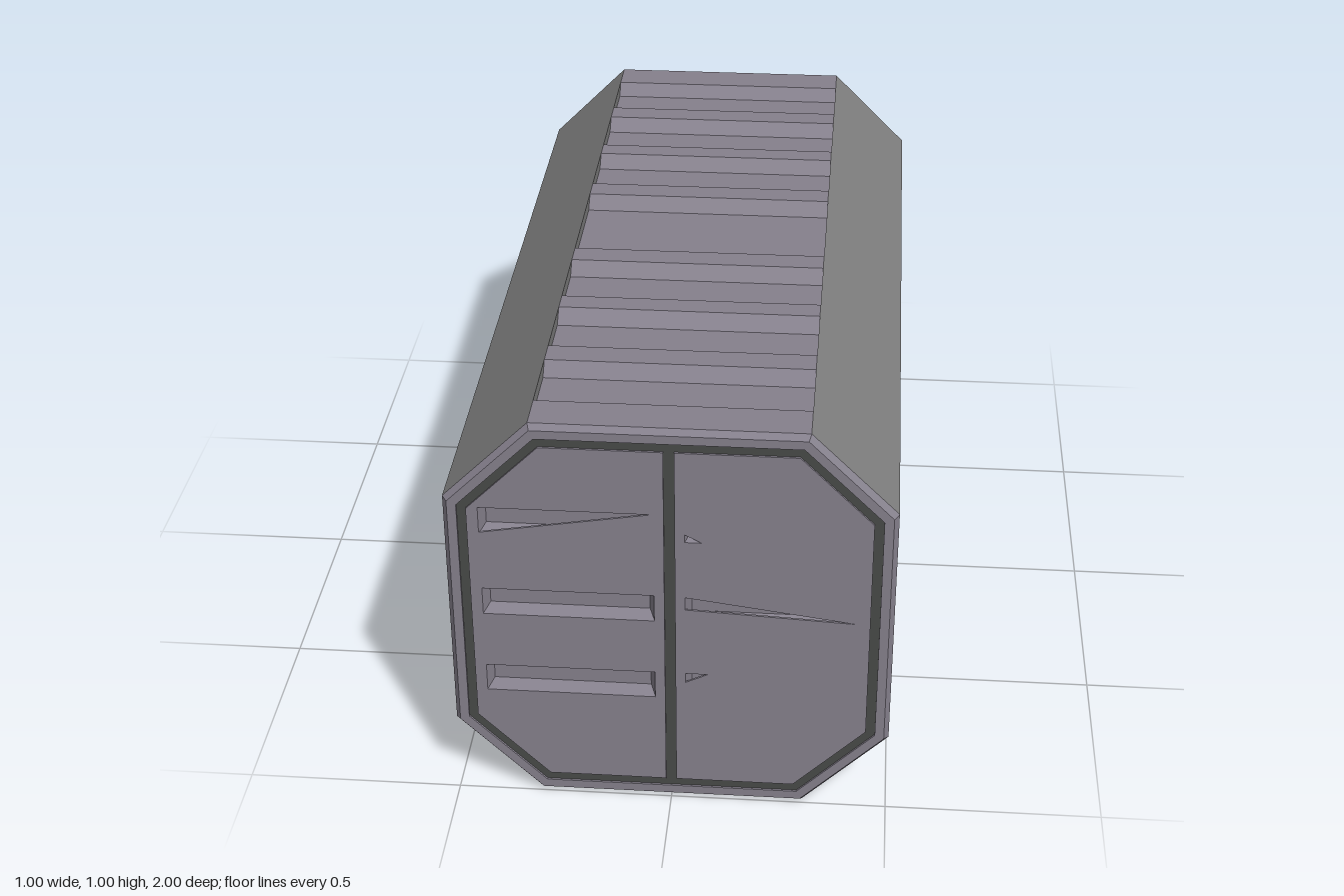
import * as THREE from 'three';

const base = new THREE.MeshStandardMaterial({ color: 0x85808c, flatShading: true });
const trim = new THREE.MeshStandardMaterial({ color: 0x808080, flatShading: true });
const dark = new THREE.MeshStandardMaterial({ color: 0x484a48, flatShading: true });

const HALF = 0.5, CORNER = 0.305, RIM_Z = 0.985, DEPTH = 0.03;
const v = (x, y) => new THREE.Vector2(x, y);

// Octagon outline inset by d, counter-clockwise
function octagon(d) {
  const a = HALF - d, c = CORNER - 0.414 * d;
  return [v(a, -c), v(a, c), v(c, a), v(-c, a), v(-a, c), v(-a, -c), v(-c, -a), v(c, -a)];
}

// Half octagon for one door leaf; s picks the side
function leaf(s) {
  const a = HALF - 0.053, c = CORNER - 0.414 * 0.053, g = 0.012;
  return [v(g, -a), v(c, -a), v(a, -c), v(a, c), v(c, a), v(g, a)].map(p => v(p.x * s, p.y));
}

function rect(x0, x1, y0, y1) {
  return [v(x0, y0), v(x1, y0), v(x1, y1), v(x0, y1)];
}

function shapeWith(outline, holes) {
  const shape = new THREE.Shape(outline);
  holes.forEach(h => shape.holes.push(new THREE.Path(h)));
  return shape;
}

// Flat-faced skin between two matching loops, optionally closed at the second (four-sided)
function loft(a, za, b, zb, cap) {
  const pos = [];
  const put = (p, z) => pos.push(p.x, p.y, z);
  a.forEach((p, i) => {
    const j = (i + 1) % a.length;
    put(p, za); put(a[j], za); put(b[j], zb);
    put(p, za); put(b[j], zb); put(b[i], zb);
  });
  if (cap) [0, 1, 2, 0, 2, 3].forEach(i => put(b[i], zb));
  const g = new THREE.BufferGeometry();
  g.setAttribute('position', new THREE.Float32BufferAttribute(pos, 3));
  g.computeVertexNormals();
  return g;
}

function add(parent, name, geometry, material) {
  const m = new THREE.Mesh(geometry, material);
  m.name = name;
  parent.add(m);
  return m;
}

// Wall with cross-wise grooves, seen as a profile along the length
function corrugatedPanel() {
  const half = [[0.12, 0.154], [0.25, 0.217], [0.37, 0.404], [0.495, 0.46], [0.61, 0.645], [0.74, 0.71], [0.86, 0.89]];
  // each slope: [z at groove floor, z at outer level]
  const right = [];
  half.forEach(([low, high]) => {
    const pair = [v(low, HALF - DEPTH), v(high, HALF)];
    if (low > high) pair.reverse();
    right.push(...pair);
  });
  const left = right.map(p => v(-p.x, p.y));
  const outline = [v(-RIM_Z, 0.44), v(RIM_Z, 0.44), v(RIM_Z, HALF),
    ...right.reverse(), ...left, v(-RIM_Z, HALF)];
  const g = new THREE.ExtrudeGeometry(new THREE.Shape(outline), { depth: 2 * CORNER, bevelEnabled: false });
  return g.translate(0, 0, -CORNER).rotateY(Math.PI / 2);
}

// Flat diagonal corner panel running the full length
function cornerPanel() {
  const s = new THREE.Shape([v(CORNER, 0.44), v(0.44, CORNER), v(HALF, CORNER), v(CORNER, HALF)]);
  const g = new THREE.ExtrudeGeometry(s, { depth: 2 * RIM_Z, bevelEnabled: false });
  return g.translate(0, 0, -RIM_Z);
}

// One end with rim, seal and two door leaves; f mirrors it left to right
function doorEnd(f) {
  const end = new THREE.Group();
  const sheet = 0.005, z = 1 - sheet;
  const slab = s => new THREE.ExtrudeGeometry(s, { depth: sheet, bevelEnabled: false }).translate(0, 0, z);

  add(end, 'rimBevel', loft(octagon(0), RIM_Z, octagon(0.011), 1), base);
  add(end, 'rim', slab(shapeWith(octagon(0.011), [octagon(0.032)])), base);
  add(end, 'doorSeal', new THREE.ShapeGeometry(shapeWith(octagon(0.03), [leaf(1), leaf(-1)])).translate(0, 0, z), dark);

  // vent openings: full slots and partly covered ones
  const rows = [[0.218, 0.287], [0.003, 0.072], [-0.21, -0.14]];
  const openings = {
    '-1': [
      [v(-0.421, 0.287), v(-0.421, 0.222), v(-0.038, 0.287)],
      rect(-0.421, -0.035, ...rows[1]),
      rect(-0.421, -0.035, ...rows[2]),
    ],
    '1': [
      [v(0.034, 0.238), v(0.034, 0.218), v(0.072, 0.218)],
      [v(0.034, 0.07), v(0.034, 0.037), v(0.418, 0.018)],
      [v(0.034, -0.14), v(0.034, -0.165), v(0.085, -0.14)],
    ],
  };
  for (const s of [-1, 1]) {
    const holes = openings[s].map(h => h.map(p => v(p.x * f, p.y)));
    add(end, 'doorLeaf', slab(shapeWith(leaf(s * f), holes)), base);
    const x0 = s * f > 0 ? 0.034 : -0.421, x1 = s * f > 0 ? 0.421 : -0.034, i = 0.013;
    rows.forEach(([y0, y1]) => add(end, 'ventPocket',
      loft(rect(x0, x1, y0, y1), 1, rect(x0 + i, x1 - i, y0 + i, y1 - i), 1 - DEPTH, true), base));
  }
  return end;
}

export function createModel() {
  const model = new THREE.Group();
  model.name = 'container';
  const body = new THREE.Group();
  body.name = 'body';
  body.position.y = HALF;
  model.add(body);

  // four grooved walls and four corner panels around the length
  const wall = corrugatedPanel(), corner = cornerPanel();
  ['roof', 'leftWall', 'floor', 'rightWall'].forEach((name, k) => {
    add(body, name, wall, base).rotation.z = -k * Math.PI / 2;
    add(body, 'cornerPanel', corner, trim).rotation.z = -k * Math.PI / 2;
  });

  // the two ends mirror each other along the length
  const front = doorEnd(1), back = doorEnd(-1);
  front.name = 'frontEnd';
  back.name = 'backEnd';
  back.rotation.y = Math.PI;
  body.add(front, back);
  return model;
}
